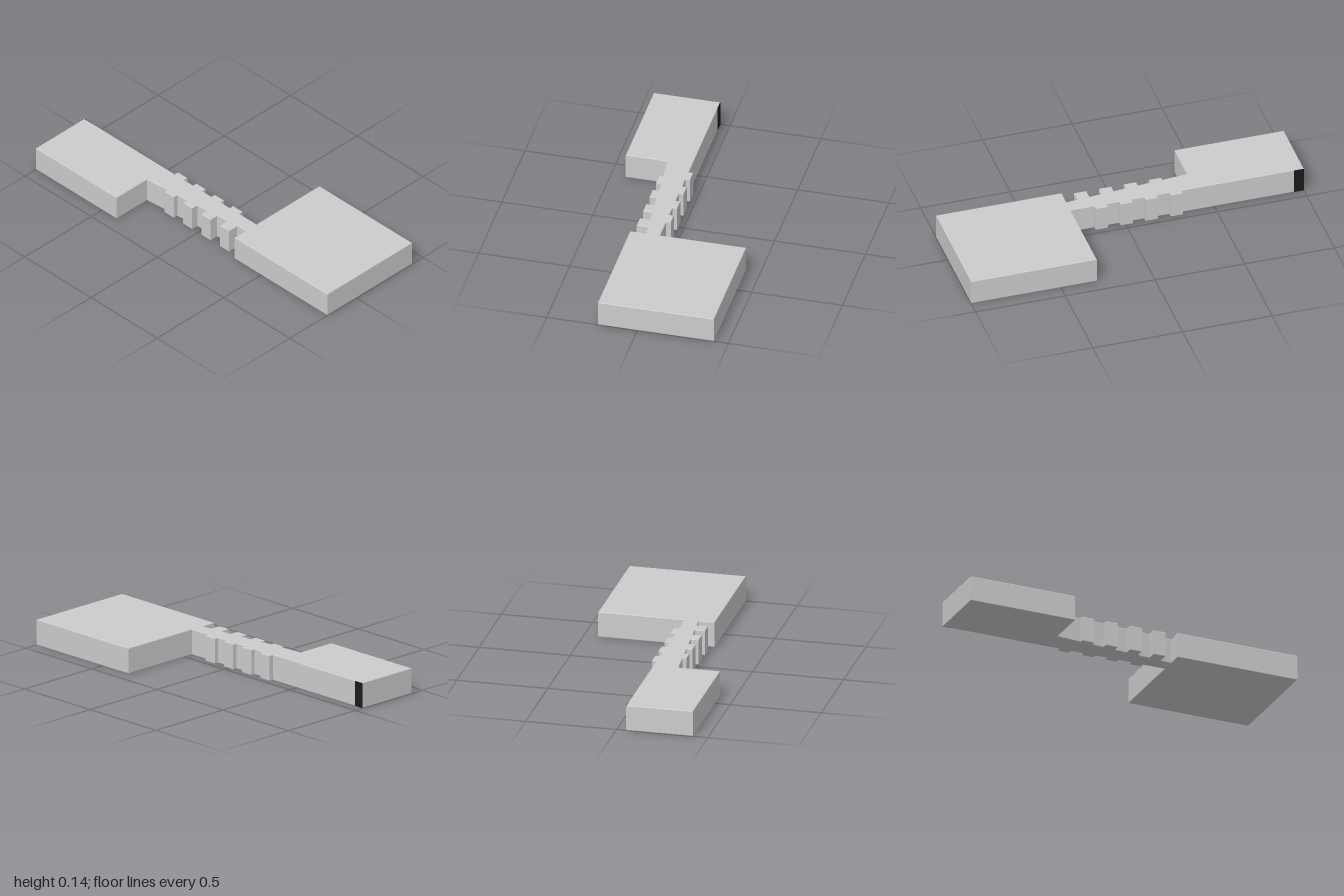
import * as THREE from 'three';

const HEIGHT = 0.143;
const BEVEL = 0.004;

const grey = new THREE.MeshStandardMaterial({ color: 0xcccccc });
const black = new THREE.MeshStandardMaterial({ color: 0x1a1a1a });

// Upright slab from a plan outline of [x, z] points, with slightly eased edges
function slab(name, outline) {
  const shape = new THREE.Shape(outline.map(([x, z]) => new THREE.Vector2(x, z)));
  const geometry = new THREE.ExtrudeGeometry(shape, {
    depth: HEIGHT - 2 * BEVEL,
    bevelEnabled: true,
    bevelThickness: BEVEL,
    bevelSize: BEVEL,
    bevelOffset: -BEVEL,
    bevelSegments: 2,
  });
  geometry.rotateX(Math.PI / 2);
  geometry.translate(0, HEIGHT - BEVEL, 0);
  const mesh = new THREE.Mesh(geometry, grey);
  mesh.name = name;
  return mesh;
}

const rectangle = (x0, x1, z0, z1) => [[x0, z0], [x1, z0], [x1, z1], [x0, z1]];

// Toothed neck: straight back edge, tapering front edge, staggered teeth
function neckOutline() {
  const start = -0.4, end = 0.31, back = 0.053;
  const tooth = 0.07, pitch = 0.139, count = 4;
  const front = (x) => 0.19 - 0.085 * (x + 0.39);
  const points = [[start, back]];
  for (let i = 0; i < count; i++) {
    const x = -0.318 + i * pitch;
    points.push([x, back], [x, 0.028], [x + tooth, 0.028], [x + tooth, back]);
  }
  points.push([end, back], [end, front(end)]);
  for (let i = count - 1; i >= 0; i--) {
    const x = -0.249 + i * pitch;
    points.push([x + tooth, front(x + tooth)], [x + tooth, 0.198], [x, 0.198], [x, front(x)]);
  }
  points.push([start, front(start)]);
  return points;
}

export function createModel() {
  const model = new THREE.Group();
  model.name = 'key';

  model.add(
    slab('smallBlock', rectangle(-1, -0.39, 0.053, 0.418)),
    slab('toothedNeck', neckOutline()),
    slab('largeBlock', rectangle(0.3, 1, -0.42, 0.218)),
  );

  // Dark insert showing at the back corner of the small block
  const insert = new THREE.Mesh(new THREE.BoxGeometry(0.055, HEIGHT - 0.004, 0.2), black);
  insert.name = 'darkInsert';
  insert.position.set(-0.971, HEIGHT / 2, 0.151);
  model.add(insert);

  return model;
}
